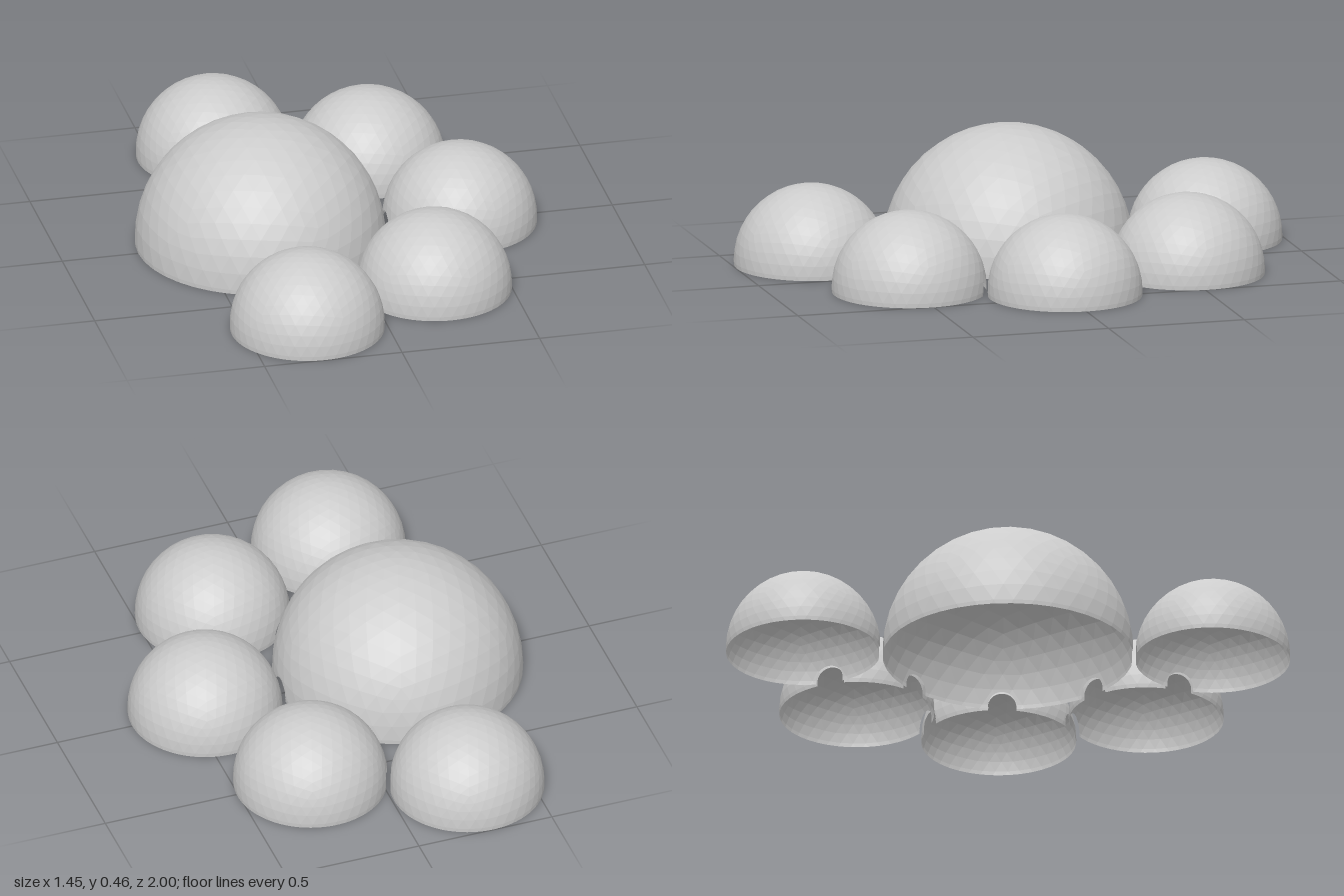
import * as THREE from 'three';

const BASE = 0.015;   // height of the sphere centres above the ground
const DOOR = 0.05;    // door arch radius

// Splits a convex polygon by a plane: [part with n.p > c, part with n.p <= c]
function split(poly, { n, c }) {
  const above = [], below = [];
  poly.forEach((p, i) => {
    const q = poly[(i + 1) % poly.length];
    const dp = n.dot(p) - c, dq = n.dot(q) - c;
    (dp > 0 ? above : below).push(p);
    if ((dp > 0) !== (dq > 0)) {
      const m = p.clone().lerp(q, dp / (dp - dq));
      above.push(m);
      below.push(m);
    }
  });
  return [above, below];
}

// Removes the convex volume bounded by the planes from a list of polygons
function cut(polys, planes) {
  const kept = [];
  for (let poly of polys) {
    const pieces = [];
    for (const plane of planes) {
      const [above, below] = split(poly, plane);
      if (above.length > 2) pieces.push(above);
      poly = below;
      if (poly.length < 3) break;
    }
    // polygons that miss the volume stay whole
    kept.push(...pieces);
  }
  return kept;
}

// Arched doorway prism, starting inside the shell and running along angle a
function doorway(a, radius) {
  const d = new THREE.Vector3(Math.cos(a), 0, Math.sin(a));
  const side = new THREE.Vector3(-d.z, 0, d.x);
  const planes = [{ n: d.clone().negate(), c: -radius * 0.6 }];
  const steps = 14;
  for (let i = 0; i <= steps; i++) {
    const t = Math.PI * i / steps;
    const n = side.clone().multiplyScalar(Math.cos(t));
    n.y = Math.sin(t);
    planes.push({ n, c: DOOR });
  }
  return planes;
}

// Open geodesic shell, cut level at the ground and pierced by doorways
function domeGeometry(radius, doorAngles) {
  const ico = new THREE.IcosahedronGeometry(radius, 7);
  ico.rotateZ(-Math.atan(2 / (1 + Math.sqrt(5))));
  const pos = ico.attributes.position;
  let polys = [];
  for (let i = 0; i < pos.count; i += 3) {
    polys.push([0, 1, 2].map(k => new THREE.Vector3().fromBufferAttribute(pos, i + k)));
  }
  polys = cut(polys, [{ n: new THREE.Vector3(0, 1, 0), c: -BASE }]);
  for (const a of doorAngles) polys = cut(polys, doorway(a, radius));

  const points = [];
  for (const p of polys) {
    for (let i = 1; i < p.length - 1; i++) points.push(p[0], p[i], p[i + 1]);
  }
  const geometry = new THREE.BufferGeometry().setFromPoints(points);
  geometry.computeVertexNormals();
  return geometry;
}

export function createModel() {
  const group = new THREE.Group();
  const material = new THREE.MeshStandardMaterial({
    color: 0xcccccc, flatShading: true, side: THREE.DoubleSide,
  });

  // One main dome with five smaller ones in a half ring around it
  const cx = -0.28, ring = 0.725;
  const domes = [{ name: 'mainDome', x: cx, z: 0, r: 0.445 }];
  for (let i = 0; i < 5; i++) {
    const a = -Math.PI / 2 + i * Math.PI / 4;
    domes.push({
      name: `sideDome${i + 1}`,
      x: cx + ring * Math.cos(a), z: ring * Math.sin(a), r: 0.275,
    });
  }

  // Each dome has a doorway towards every dome it touches
  for (const d of domes) {
    const doors = domes
      .filter(o => o !== d && Math.hypot(o.x - d.x, o.z - d.z) < o.r + d.r + 0.05)
      .map(o => Math.atan2(o.z - d.z, o.x - d.x));
    const mesh = new THREE.Mesh(domeGeometry(d.r, doors), material);
    mesh.name = d.name;
    mesh.position.set(d.x, BASE, d.z);
    group.add(mesh);
  }
  return group;
}
